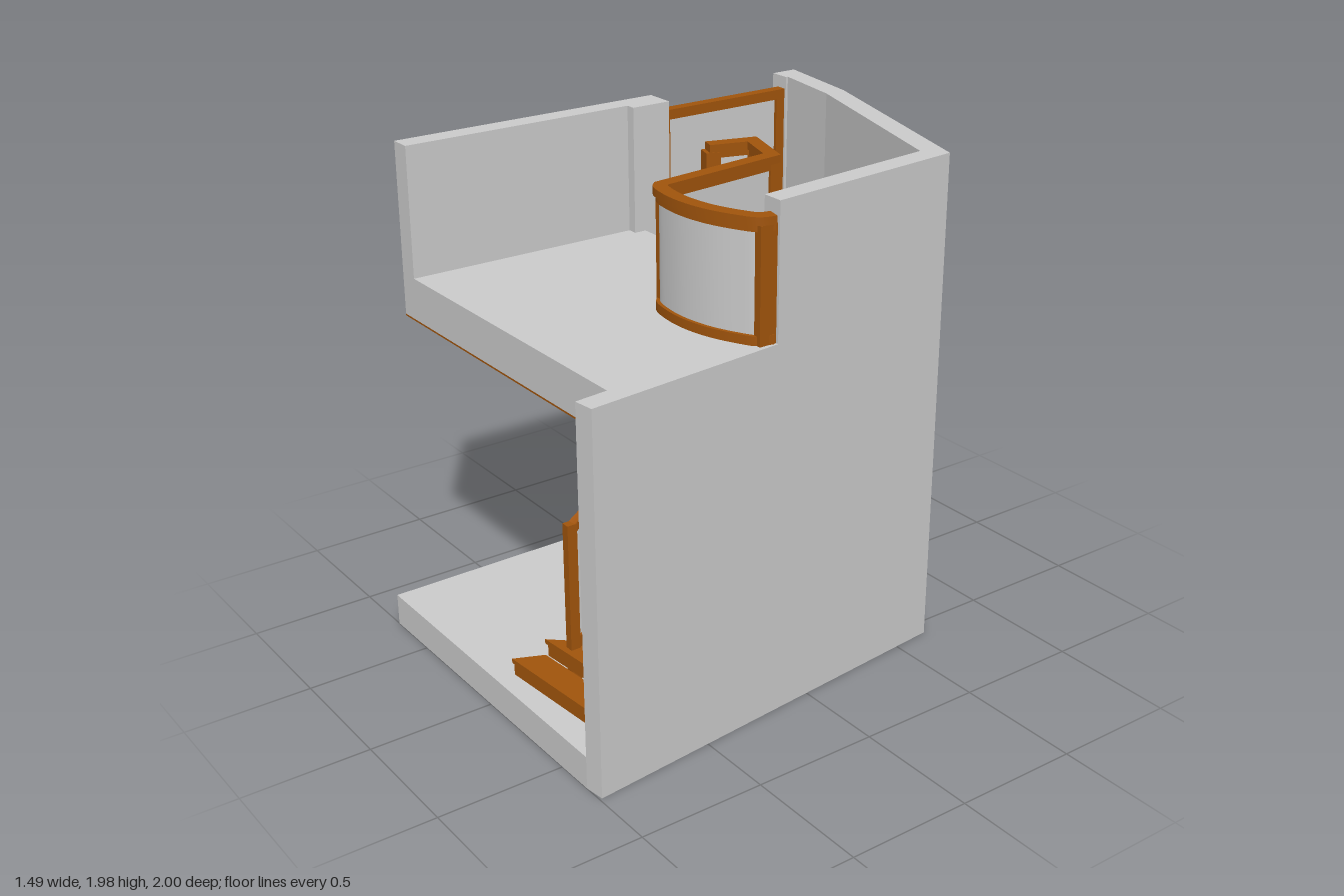
import * as THREE from 'three';
import { toCreasedNormals } from 'three/addons/utils/BufferGeometryUtils.js';

const grey = new THREE.MeshStandardMaterial({ color: 0xcccccc });
const wood = new THREE.MeshStandardMaterial({ color: 0xa0540c });
const dark = new THREE.MeshStandardMaterial({ color: 0x606468 });

export function createModel() {
  const model = new THREE.Group();
  const add = (name, geometry, material) => {
    const mesh = new THREE.Mesh(geometry, material);
    mesh.name = name;
    model.add(mesh);
    return mesh;
  };

  // Upright prism over a plan outline of [x, z] points
  const prism = (name, plan, y0, y1, material) => {
    const shape = new THREE.Shape(plan.map(([x, z]) => new THREE.Vector2(x, -z)));
    const g = new THREE.ExtrudeGeometry(shape, { depth: y1 - y0, bevelEnabled: false });
    g.rotateX(-Math.PI / 2).translate(0, y0, 0);
    return add(name, g, material);
  };

  const box = (name, x0, x1, y0, y1, z0, z1, material) => {
    const g = new THREE.BoxGeometry(x1 - x0, y1 - y0, z1 - z0);
    g.translate((x0 + x1) / 2, (y0 + y1) / 2, (z0 + z1) / 2);
    return add(name, g, material);
  };

  // Upright band with mitred corners; stations are [x, z, bottom, top]
  const strip = (name, stations, width, material) => {
    const pos = [], index = [], n = stations.length;
    const dir = (i) => new THREE.Vector2(
      stations[i + 1][0] - stations[i][0], stations[i + 1][1] - stations[i][1]).normalize();
    stations.forEach(([x, z, lo, hi], i) => {
      const a = dir(Math.max(i - 1, 0)), b = dir(Math.min(i, n - 2));
      const m = a.clone().add(b).normalize();
      const half = width / 2 / Math.max(m.dot(a), 0.5);
      const ox = m.y * half, oz = -m.x * half;
      pos.push(x + ox, lo, z + oz, x + ox, hi, z + oz, x - ox, hi, z - oz, x - ox, lo, z - oz);
      if (i === n - 1) return;
      for (let j = 0; j < 4; j++) {
        const p = i * 4 + j, q = i * 4 + (j + 1) % 4;
        index.push(p, q, q + 4, p, q + 4, p + 4);
      }
    });
    const e = (n - 1) * 4;
    index.push(0, 3, 2, 0, 2, 1, e, e + 1, e + 2, e, e + 2, e + 3);
    const g = new THREE.BufferGeometry();
    g.setAttribute('position', new THREE.Float32BufferAttribute(pos, 3));
    g.setIndex(index);
    return add(name, toCreasedNormals(g, 0.5), material);
  };
  const level = (path, lo, hi) => path.map(([x, z]) => [x, z, lo, hi]);

  // Ground floor and outer walls
  const wallX = (z) => 0.49 + (z + 0.59) * 0.107;
  const outerX = (z) => 0.57 + (z + 0.66) * 0.103;
  prism('groundFloor', [[-0.745, -1], [-0.35, -0.94], [0.57, -0.66], [0.74, 0.99], [0.66, 1], [-0.735, 1]], 0, 0.13, grey);
  prism('backWall', [[-0.745, -1], [-0.35, -0.94], [0.57, -0.66], [0.49, -0.59], [-0.35, -0.85], [-0.66, -0.9], [-0.66, -0.89], [-0.745, -0.89]], 0.13, 1.98, grey);
  prism('rightWallLower', [[0.57, -0.66], [0.74, 0.99], [0.66, 1], [0.49, -0.59]], 0.13, 1.47, grey);
  prism('rightWallUpper', [[0.57, -0.66], [outerX(0.18), 0.18], [wallX(0.18), 0.18], [0.49, -0.59]], 1.47, 1.98, grey);
  box('leftWallLower', -0.745, -0.66, 0.13, 1.47, -0.89, -0.27, grey);
  box('pillar', -0.745, -0.62, 0.13, 1.98, -0.27, -0.1, grey);
  box('leftWallUpper', -0.745, -0.66, 1.47, 1.98, -0.1, 0.87, grey);

  // Gallery balustrade path: three straight runs, then a bowed run to the wall
  const corners = [[-0.185, -0.14], [-0.135, -0.31], [0.07, -0.245]];
  const bow = new THREE.CatmullRomCurve3(
    [[0.13, 0.29], [0.155, 0.312], [0.23, 0.33], [0.33, 0.335], [0.45, 0.315], [0.56, 0.27], [0.615, 0.235], [0.63, 0.185]]
      .map(([x, z]) => new THREE.Vector3(x, 0, z))).getPoints(32).map((p) => [p.x, p.z]);
  const gallery = [...corners, ...bow];

  // Upper floor with the stairwell cut out, and its timber ceiling
  const floorPlan = [[-0.745, 0.87], [0.65, 0.87], [wallX(0.18) + 0.04, 0.18],
    ...[...gallery].reverse(), [-0.2, -0.15], [-0.62, -0.15], [-0.62, -0.1], [-0.745, -0.1]];
  prism('upperFloor', floorPlan, 1.305, 1.47, grey);
  prism('ceiling', floorPlan, 1.298, 1.305, wood);

  strip('galleryHandrail', level(gallery, 1.9, 1.93), 0.055, wood);
  strip('gallerySubrail', level(gallery, 1.875, 1.9), 0.035, wood);
  strip('galleryBottomRail', level(gallery, 1.47, 1.505), 0.04, wood);
  strip('galleryGlass', level(gallery, 1.505, 1.875), 0.012, grey);
  strip('galleryNewel', level([[-0.19, -0.125], [-0.173, -0.18]], 1.17, 1.9), 0.06, wood);
  for (const [x, z] of [corners[1], corners[2], [0.133, 0.285]])
    box('galleryPost', x - 0.02, x + 0.02, 1.3, 1.9, z - 0.02, z + 0.02, wood);
  box('galleryEndPost', 0.613, 0.645, 1.47, 1.9, 0.18, 0.25, wood);

  // Framed glass in the left wall opening
  const side = [[-0.69, -0.89], [-0.69, -0.27]];
  strip('sideTopRail', level(side, 1.89, 1.93), 0.045, wood);
  strip('sideBottomRail', level(side, 1.47, 1.51), 0.035, wood);
  strip('sideGlass', level(side, 1.51, 1.89), 0.012, grey);
  for (const z of [-0.89, -0.31]) box('sidePost', -0.71, -0.67, 1.47, 1.89, z, z + 0.04, wood);

  // Stair riser lines: [inner x, inner z, outer x, outer z]
  const rise = 0.067, innerX = (z) => 0.155 + (z - 0.24) * 0.107;
  const lines = [];
  for (let k = 0; k < 11; k++) {
    const z = 0.93 - k * 0.115, zr = z - 0.05;
    lines.push([k === 0 ? 0.05 : k === 1 ? 0.1 : innerX(z), z, wallX(zr), zr]);
  }
  lines.push([0.08, -0.275, 0.5, -0.48], [0.03, -0.295, 0.37, -0.625], [-0.02, -0.315, 0.17, -0.69],
    [-0.06, -0.33, 0.06, -0.725], [-0.1, -0.34, -0.16, -0.79], [-0.13, -0.35, -0.55, -0.88],
    [-0.16, -0.33, -0.66, -0.53], [-0.19, -0.27, -0.66, -0.27], [-0.2, -0.15, -0.62, -0.15]);
  const wallCorners = { 11: [0.49, -0.59], 15: [-0.35, -0.85], 16: [-0.66, -0.9] };
  lines.slice(0, -1).forEach(([ix, iz, ox, oz], k) => {
    const [jx, jz, px, pz] = lines[k + 1], top = 0.13 + rise * (k + 1);
    const t = 0.1, mix = (a, b) => a + (b - a) * t;
    const plan = [[ix, iz], [ox, oz]];
    if (wallCorners[k]) plan.push(wallCorners[k]);
    plan.push([px, pz], [jx, jz]);
    prism('tread', plan, top - 0.018, top, wood);
    strip('riser', level([[mix(ix, jx), mix(iz, jz)], [mix(ox, px), mix(oz, pz)]], top - rise, top - 0.018), 0.012, wood);
  });
  box('topLanding', -0.62, -0.21, 1.25, 1.385, -0.27, -0.15, wood);

  // Wall stringer follows the outer ends of the risers
  const outer = [];
  lines.slice(0, 18).forEach(([, , x, z], k) => {
    const y = 0.13 + rise * (k + 1);
    outer.push([x, z, Math.max(y - 0.16, 0.13), y + 0.06]);
    if (wallCorners[k]) outer.push([...wallCorners[k], y - 0.13, y + 0.09]);
  });
  outer.push([-0.655, -0.28, 1.25, 1.46]);
  strip('wallStringer', outer, 0.024, wood);

  // Inner side: closed panel, glass and handrail rising to the newel
  const run = [[innerX(0.75), 0.75], [0.1, -0.265], [-0.12, -0.345]];
  const band = (lo, hi) => run.map(([x, z], i) => [x, z, lo[i], hi[i]]);
  strip('innerStringer', band([0.13, 0.72, 1.12], [0.3, 1.0, 1.31]), 0.025, wood);
  strip('stairGlass', band([0.3, 1.0, 1.31], [0.74, 1.34, 1.72]), 0.01, grey);
  strip('stairHandrail', band([0.74, 1.33, 1.71], [0.775, 1.37, 1.75]), 0.035, wood);
  const sx = innerX(0.76);
  box('startNewel', sx - 0.017, sx + 0.017, 0.13, 0.775, 0.74, 0.78, wood);
  strip('understairPanel', [[innerX(0.75), 0.75, 0.13, 0.16], [0.1, -0.25, 0.13, 0.75]], 0.015, wood);
  for (let i = 0; i < 6; i++) {
    const z = 0.6 - i * 0.15, x = innerX(z) - 0.01;
    box('panelMullion', x - 0.008, x + 0.008, 0.13, 0.24 + i * 0.09, z - 0.01, z + 0.01, wood);
  }

  // Cupboard wall under the winders with a pair of glazed sliding doors
  strip('doorHeader', [[-0.62, -0.25, 0.94, 1.34], [-0.13, -0.25, 0.94, 1.3], [0.085, -0.25, 0.94, 1.08]], 0.02, wood);
  box('leftJamb', -0.62, -0.605, 0.13, 0.94, -0.27, -0.24, wood);
  box('rightJamb', 0.05, 0.1, 0.13, 0.94, -0.27, -0.24, wood);
  box('doorGlass', -0.605, 0.05, 0.13, 0.94, -0.262, -0.254, grey);
  for (const [x, w] of [[-0.605, 0.015], [-0.29, 0.02], [0.035, 0.015]])
    box('doorStile', x, x + w, 0.13, 0.94, -0.27, -0.244, dark);
  for (const [y, h] of [[0.13, 0.025], [0.925, 0.015]])
    box('doorRail', -0.605, 0.05, y, y + h, -0.27, -0.244, dark);

  return model;
}
